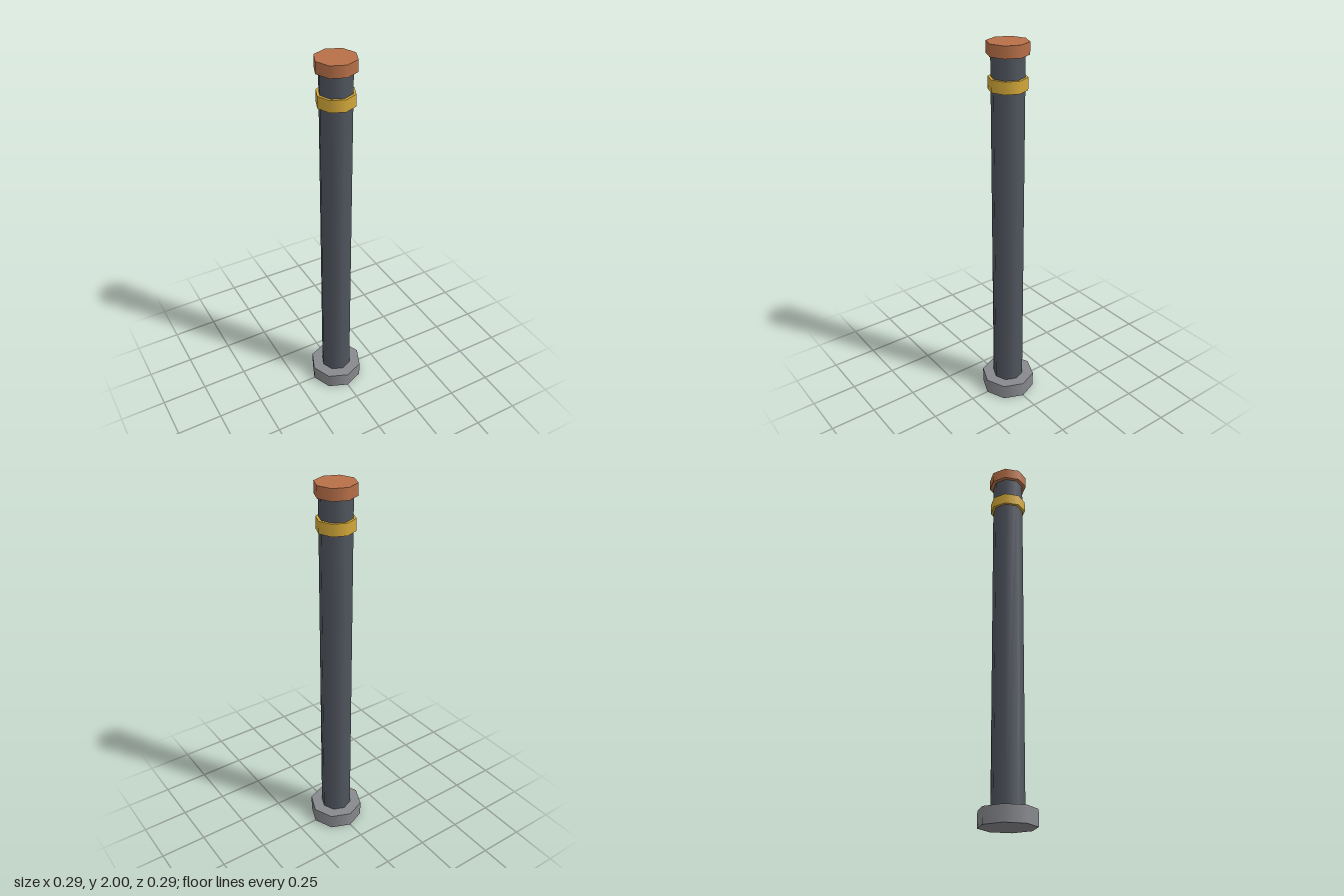
import * as THREE from 'three';

const SIDES = 8;

function material(name, color) {
  const m = new THREE.MeshStandardMaterial({ color });
  m.name = name;
  return m;
}

// Upright eight-sided drum between two heights
function drum(name, radius, bottom, top, mat) {
  const mesh = new THREE.Mesh(new THREE.CylinderGeometry(radius, radius, top - bottom, SIDES), mat);
  mesh.name = name;
  mesh.position.y = (bottom + top) / 2;
  return mesh;
}

export function createModel() {
  const baseGrey = material('base grey', 0x88898d);
  const shaftGrey = material('dark steel', 0x50555e);
  const bandGold = material('band gold', 0xd4a93a);
  const capCopper = material('cap copper', 0xb87048);

  const post = new THREE.Group();
  post.name = 'post';
  post.add(
    drum('base', 0.147, 0, 0.084, baseGrey),
    drum('shaft', 0.084, 0.002, 1.96, shaftGrey),
    drum('band', 0.098, 1.77, 1.832, bandGold),
    drum('cap', 0.105, 1.94, 2, capCopper),
  );
  return post;
}
